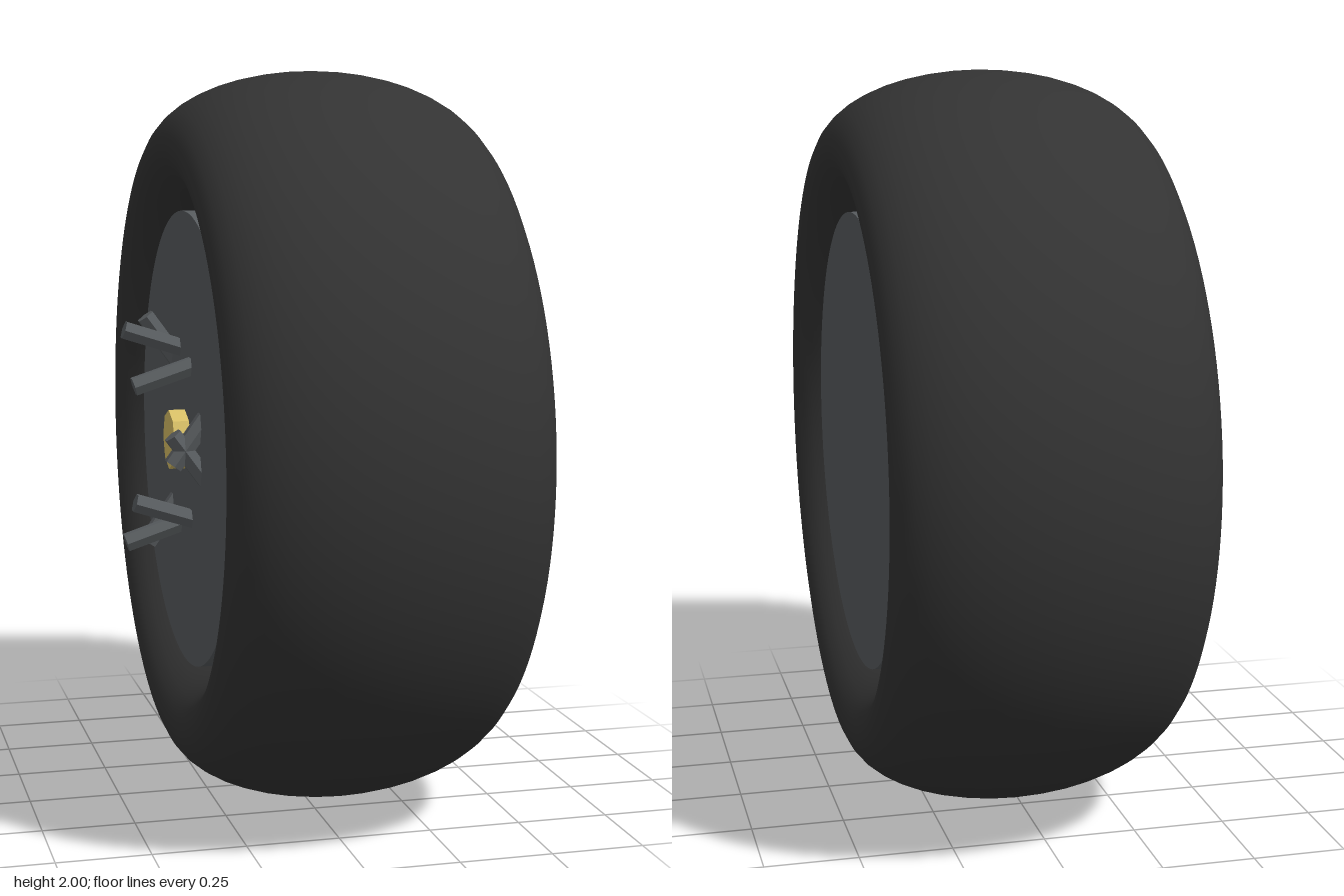
import * as THREE from 'three';

const mat = (color, flatShading = false) => new THREE.MeshStandardMaterial({ color, flatShading });

export function createModel() {
  const wheel = new THREE.Group();
  wheel.name = 'wheel';
  const rubber = mat(0x333333);
  const steel = mat(0x585c5f);
  const steelFlat = mat(0x585c5f, true);
  const gold = mat(0xd8bf66, true);

  const add = (name, geometry, material, x = 0, y = 0, z = 0) => {
    const mesh = new THREE.Mesh(geometry, material);
    mesh.name = name;
    mesh.position.set(x, y, z);
    wheel.add(mesh);
    return mesh;
  };

  // Wide tyre: a torus stretched along the axle
  const centre = 0.05;
  const tyre = new THREE.TorusGeometry(0.8, 0.2, 40, 112);
  tyre.rotateY(Math.PI / 2).scale(2.07, 1, 1);
  add('tyre', tyre, rubber, centre, 1, 0);

  // Solid rim drum, slightly recessed on both sides
  const rim = new THREE.CylinderGeometry(0.625, 0.625, 0.71, 96);
  rim.rotateZ(Math.PI / 2);
  add('rim', rim, steel, centre, 1, 0);

  // Brake caliper: ring segment peeking out above the rim
  const a0 = THREE.MathUtils.degToRad(28);
  const a1 = THREE.MathUtils.degToRad(55);
  const segment = new THREE.Shape();
  segment.absarc(0, 0, 0.66, a0, a1, false);
  segment.absarc(0, 0, 0.5, a1, a0, true);
  const caliper = new THREE.ExtrudeGeometry(segment, { depth: 0.145, bevelEnabled: false, curveSegments: 12 });
  caliper.rotateY(Math.PI / 2);
  add('brakeCaliper', caliper, gold, 0.2, 1, 0);

  // Octagonal hub cap on the inner face
  const hub = new THREE.CylinderGeometry(0.082, 0.082, 0.1, 8);
  hub.rotateZ(Math.PI / 2);
  add('hubCap', hub, gold, -0.3, 1, 0);

  // Ring of ten hexagonal bolts, each tilted by its own angle around the ring
  const bolt = new THREE.CylinderGeometry(0.027, 0.027, 0.45, 6);
  for (let i = 0; i < 10; i++) {
    const t = (i * Math.PI) / 5;
    const mesh = add('bolt' + (i + 1), bolt, steelFlat, -0.245, 1 + 0.24 * Math.sin(t), 0.24 * Math.cos(t));
    mesh.rotation.z = -t;
  }

  return wheel;
}
